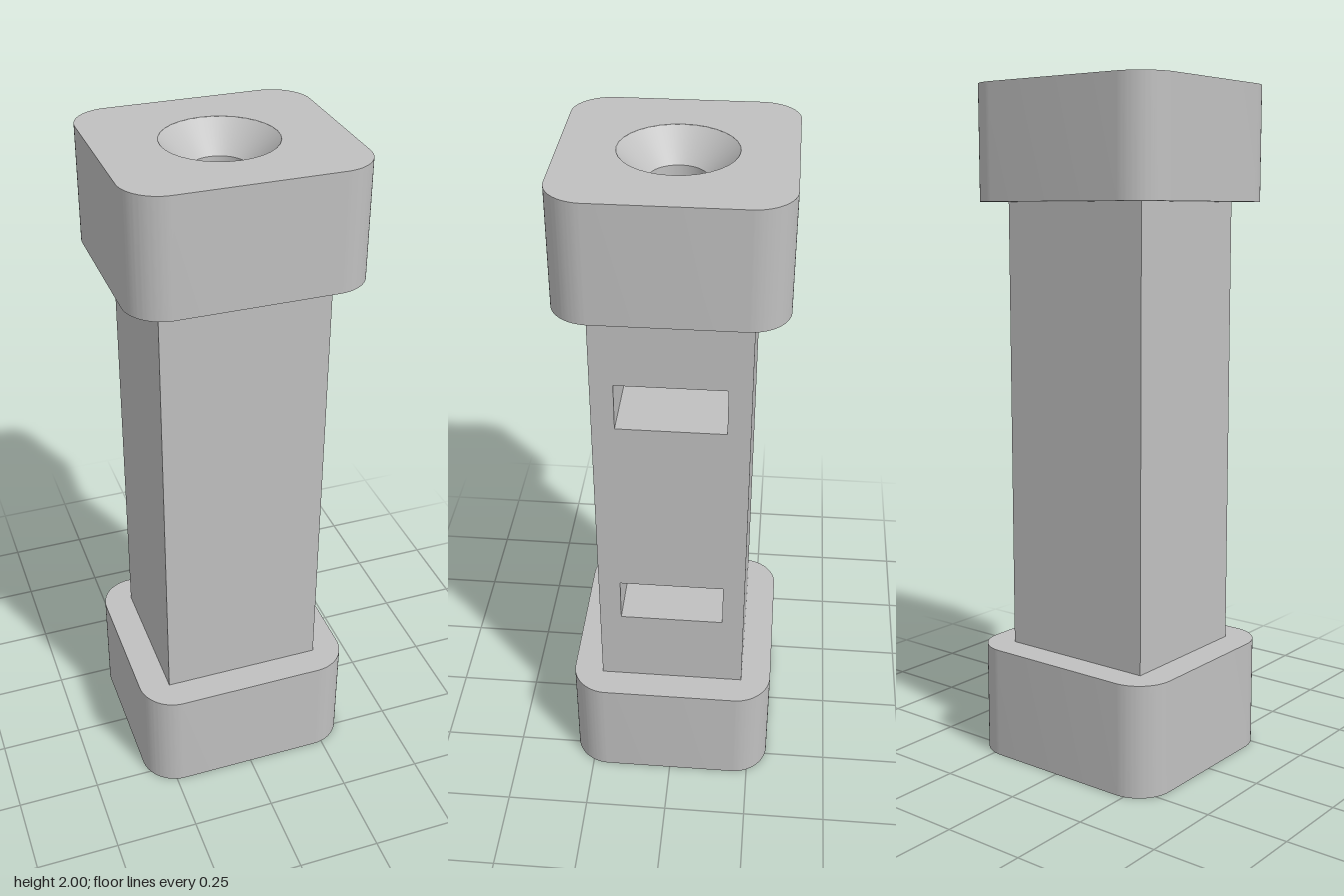
import * as THREE from 'three';
import { toCreasedNormals } from 'three/addons/utils/BufferGeometryUtils.js';

const CAP_H = 0.333, BODY_X = 0.242, BODY_Z = 0.22;
const HOLE_R = 0.08, SINK_R = 0.16, SINK_D = 0.08;
const SLOTS = [[0.578, 0.716], [1.286, 1.428]];

// Extrudes a plan outline from height y0 up to y1, keeping sharp edges
function slab(shape, y0, y1) {
  const geo = new THREE.ExtrudeGeometry(shape, { depth: y1 - y0, bevelEnabled: false, curveSegments: 16 });
  geo.rotateX(-Math.PI / 2).translate(0, y0, 0);
  return toCreasedNormals(geo, 0.6);
}

function polygon(points) {
  return new THREE.Shape(points.map(([x, z]) => new THREE.Vector2(x, z)));
}

function withHole(shape, radius) {
  shape.holes.push(new THREE.Path().absarc(0, 0, radius, 0, Math.PI * 2, true));
  return shape;
}

function roundedRect(hx, hz, r) {
  const s = new THREE.Shape();
  s.absarc(hx - r, hz - r, r, 0, Math.PI / 2);
  s.absarc(-hx + r, hz - r, r, Math.PI / 2, Math.PI);
  s.absarc(-hx + r, -hz + r, r, Math.PI, Math.PI * 1.5);
  s.absarc(hx - r, -hz + r, r, Math.PI * 1.5, Math.PI * 2);
  s.closePath();
  return s;
}

export function createModel() {
  const model = new THREE.Group();
  model.name = 'spacerPost';
  const grey = new THREE.MeshStandardMaterial({ color: 0xc0c0c0 });
  grey.name = 'grey';

  const add = (parent, name, geometry) => {
    const mesh = new THREE.Mesh(geometry, grey);
    mesh.name = name;
    parent.add(mesh);
  };

  // End cap with a countersunk screw hole, opening downwards
  const makeCap = (name) => {
    const cap = new THREE.Group();
    cap.name = name;
    add(cap, 'capBlock', slab(withHole(roundedRect(0.333, 0.311, 0.11), SINK_R), 0, CAP_H));
    // Profiles run downwards so the walls face into the hole
    const wall = (r0, y0, r1, y1) =>
      new THREE.LatheGeometry([new THREE.Vector2(r0, y0), new THREE.Vector2(r1, y1)], 64);
    add(cap, 'countersink', wall(HOLE_R, SINK_D, SINK_R, 0));
    add(cap, 'screwHole', wall(HOLE_R, CAP_H, HOLE_R, SINK_D));
    model.add(cap);
    return cap;
  };
  makeCap('bottomCap');
  const topCap = makeCap('topCap');
  topCap.rotation.x = Math.PI;
  topCap.position.y = 2;

  // Body sections: drilled ends, solid middle
  const rect = () => polygon([
    [-BODY_X, -BODY_Z], [BODY_X, -BODY_Z], [BODY_X, BODY_Z], [-BODY_X, BODY_Z],
  ]);
  add(model, 'lowerBody', slab(withHole(rect(), HOLE_R), CAP_H, SLOTS[0][0]));
  add(model, 'middleBody', slab(rect(), SLOTS[0][1], SLOTS[1][0]));
  add(model, 'upperBody', slab(withHole(rect(), HOLE_R), SLOTS[1][1], 2 - CAP_H));

  // Side-entry nut slots ending in half a hexagon
  const slotPlan = () => polygon([
    [-BODY_X, -BODY_Z], [BODY_X, -BODY_Z], [BODY_X, -0.155], [0, -0.155], [0, -0.14],
    [-0.081, -0.14], [-0.162, 0], [-0.081, 0.14],
    [0, 0.14], [0, 0.155], [BODY_X, 0.155], [BODY_X, BODY_Z], [-BODY_X, BODY_Z],
  ]);
  SLOTS.forEach(([y0, y1], i) => {
    add(model, i ? 'upperNutSlot' : 'lowerNutSlot', slab(slotPlan(), y0, y1));
  });

  return model;
}
